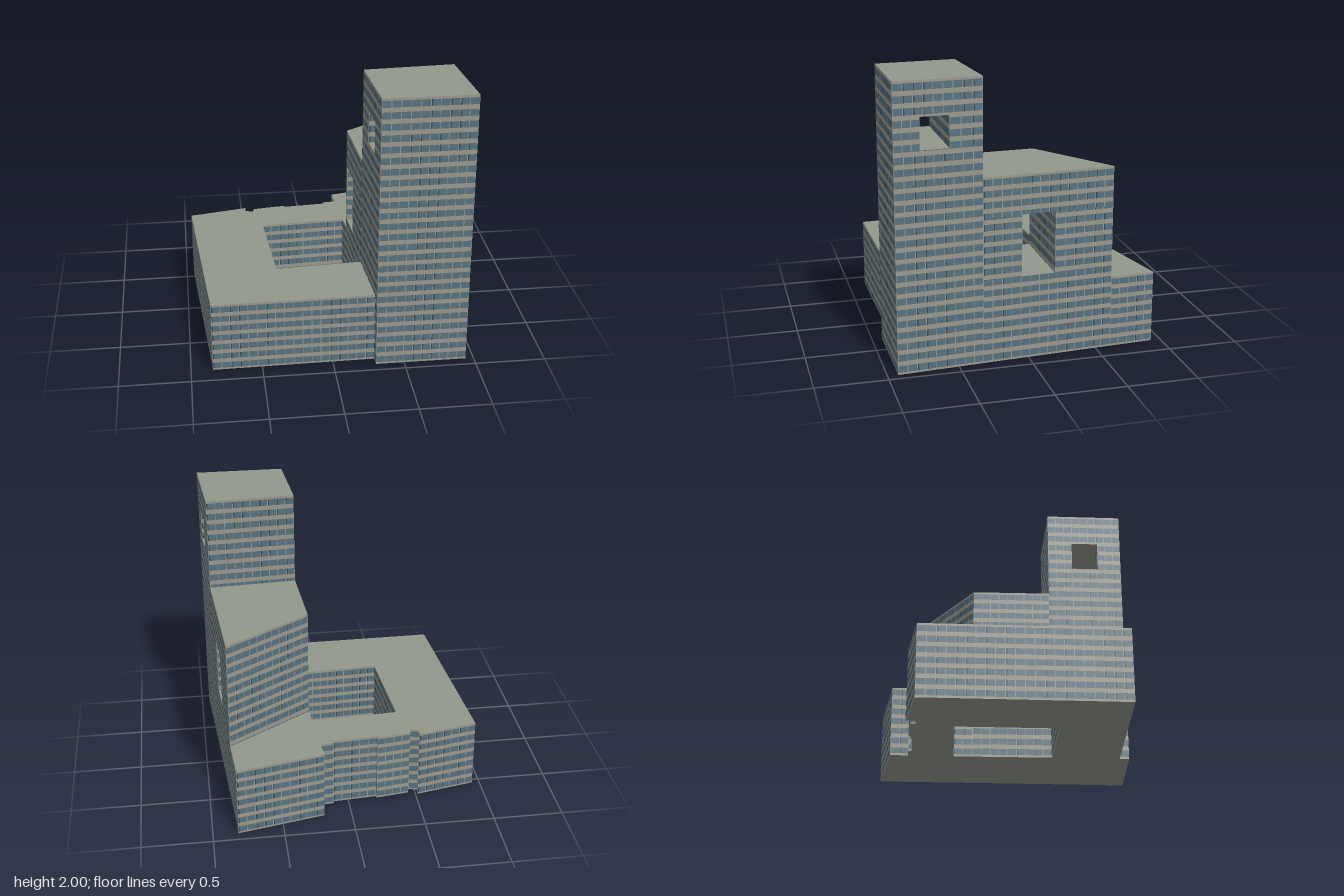
import * as THREE from 'three';

const mat = (name, color) => {
  const m = new THREE.MeshStandardMaterial({ color });
  m.name = name;
  return m;
};

export function createModel() {
  const roof = mat('roof grey', 0x93988c);
  const wall = mat('wall stone', 0x9a988c);
  const glass = mat('window blue', 0x56717f);
  const dark = mat('dark pane', 0x344955);
  const model = new THREE.Group();
  model.name = 'building';

  // Small seeded generator for the irregular dark panes
  let seed = 7;
  const rand = () => (seed = (seed * 16807) % 2147483647) / 2147483647;

  // Upright quad from a to b, pushed out along the wall normal
  function quad(out, a, b, t0, t1, y0, y1, off) {
    const dx = b[0] - a[0], dz = b[1] - a[1], len = Math.hypot(dx, dz);
    const ox = (-dz / len) * off, oz = (dx / len) * off;
    const p = (t, y) => [a[0] + dx * t + ox, y, a[1] + dz * t + oz];
    out.push(...p(t0, y0), ...p(t1, y0), ...p(t1, y1), ...p(t0, y0), ...p(t1, y1), ...p(t0, y1));
  }

  function panes(name, positions, material) {
    const g = new THREE.BufferGeometry();
    g.setAttribute('position', new THREE.Float32BufferAttribute(positions, 3));
    g.computeVertexNormals();
    const m = new THREE.Mesh(g, material);
    m.name = name;
    return m;
  }

  // Prism over an [x, z] footprint with rows of windows on every side
  function block(name, points, y0, y1, pitch) {
    const group = new THREE.Group();
    group.name = name;
    let pts = points.map(([x, z]) => new THREE.Vector2(x, -z));
    if (THREE.ShapeUtils.area(pts) < 0) pts = pts.reverse();
    const geo = new THREE.ExtrudeGeometry(new THREE.Shape(pts), { depth: y1 - y0, bevelEnabled: false });
    geo.rotateX(-Math.PI / 2).translate(0, y0, 0);
    const body = new THREE.Mesh(geo, [roof, wall]);
    body.name = name + 'Walls';
    group.add(body);

    const blue = [], black = [];
    pts.forEach((p, i) => {
      const q = pts[(i + 1) % pts.length];
      const a = [p.x, -p.y], b = [q.x, -q.y];
      const len = Math.hypot(b[0] - a[0], b[1] - a[1]);
      const bays = Math.max(1, Math.round(len / 0.065));
      const gap = 0.0025 / len;
      const darkBay = Array.from({ length: bays }, () => rand() < 0.4);
      for (let k = Math.floor(y0 / pitch); k * pitch < y1; k++) {
        const lo = Math.max(y0, (k + 0.2) * pitch), hi = Math.min(y1, (k + 0.79) * pitch);
        if (hi - lo < 0.004) continue;
        for (let j = 0; j < bays; j++) {
          const t0 = j / bays + gap, t1 = (j + 1) / bays - gap;
          quad(blue, a, b, t0, t1, lo, hi, 0.002);
          if (darkBay[j] && len > 0.05) {
            quad(black, a, b, t0, t0 + 0.009 / len, lo, hi, 0.003);
          }
        }
      }
    });
    group.add(panes(name + 'Windows', blue, glass));
    if (black.length) group.add(panes(name + 'DarkPanes', black, dark));
    return group;
  }

  // Block with an opening running through it sideways.
  // corners: back left, back right, front right, front left
  function pierced(name, [bl, br, fr, fl], top, pitch, [z0, z1], [h0, h1]) {
    const group = new THREE.Group();
    group.name = name;
    const at = (a, b, z) => [a[0] + ((b[0] - a[0]) * (z - a[1])) / (b[1] - a[1]), z];
    const full = [bl, br, fr, fl];
    const back = [bl, br, at(br, fr, z0), at(bl, fl, z0)];
    const front = [at(bl, fl, z1), at(br, fr, z1), fr, fl];
    group.add(
      block(name + 'Lower', full, 0, h0, pitch),
      block(name + 'BackPier', back, h0, h1, pitch),
      block(name + 'FrontPier', front, h0, h1, pitch),
      block(name + 'Upper', full, h1, top, pitch)
    );
    return group;
  }

  // Shared corners
  const midBack = [0.235, -0.21], midBackR = [0.84, -0.61];
  const joint = [0.265, 0.365], jointR = [0.9, 0.325];

  // Low wing wrapped around the courtyard
  model.add(block('lowWing', [
    [-0.945, -0.54], [-0.515, -0.63], [-0.525, -0.575], [-0.46, -0.562], [-0.45, -0.603],
    [-0.21, -0.635], [-0.207, -0.617], [0.11, -0.64], [0.11, -0.662], [0.203, -0.67],
    [0.195, -0.8], [0.82, -0.93], midBackR, midBack, [0.225, -0.345],
    [-0.4, -0.31], [-0.355, 0.402], joint, [0.297, 0.857], [-0.847, 0.87],
  ], 0, 0.52, 0.52 / 7));

  // Middle block and tower, each with an opening
  model.add(pierced('middleBlock', [midBack, midBackR, jointR, joint],
    1.32, 1.32 / 17, [-0.19, 0.05], [0.6, 1.04]));
  model.add(pierced('tower', [joint, jointR, [0.942, 0.927], [0.3, 0.927]],
    2, 0.08, [0.55, 0.75], [1.54, 1.76]));

  return model;
}
